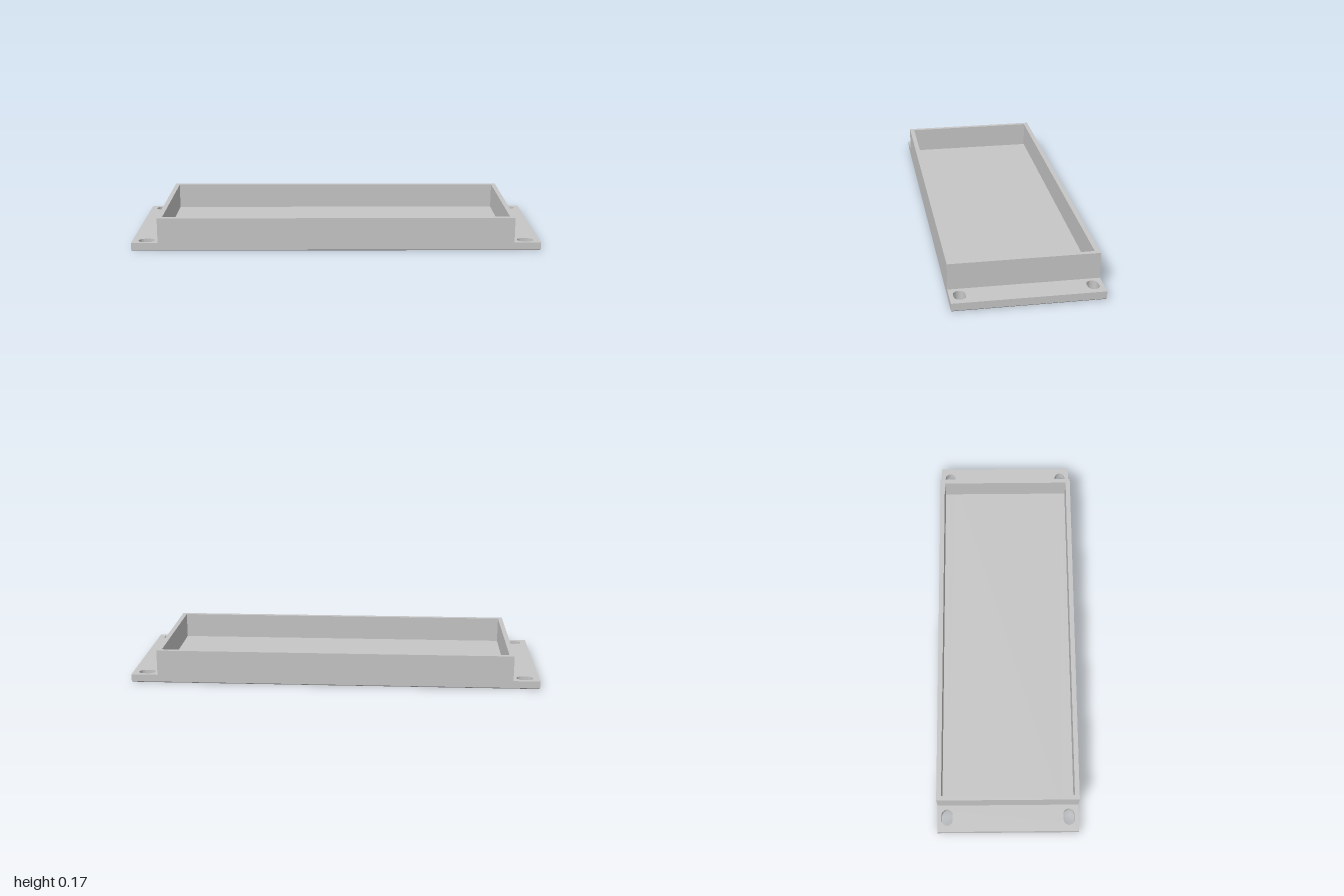
import * as THREE from 'three';
import { toCreasedNormals } from 'three/addons/utils/BufferGeometryUtils.js';

const HALF_X = 1, HALF_Z = 0.347;
const PLATE_TOP = 0.04, RIM_TOP = 0.165, CHAMFER = 0.005;

function rectangle(Type, hx, hz) {
  const r = new Type();
  r.moveTo(-hx, -hz);
  r.lineTo(hx, -hz);
  r.lineTo(hx, hz);
  r.lineTo(-hx, hz);
  r.closePath();
  return r;
}

// Rounded slot, long in x
function slot(x, z, halfLength, radius) {
  const p = new THREE.Path();
  const d = halfLength - radius;
  p.absarc(x + d, z, radius, -Math.PI / 2, Math.PI / 2, false);
  p.absarc(x - d, z, radius, Math.PI / 2, Math.PI * 1.5, false);
  p.closePath();
  return p;
}

// Extrude a plan outline upwards from y = 0
function extrudeUp(shape, height, steps = 1) {
  const g = new THREE.ExtrudeGeometry(shape, { depth: height, steps, bevelEnabled: false, curveSegments: 16 });
  g.rotateX(-Math.PI / 2);
  return g;
}

export function createModel() {
  const group = new THREE.Group();
  group.name = 'mountingTray';
  const grey = new THREE.MeshStandardMaterial({ color: 0xc6c6c6 });
  grey.name = 'lightGrey';

  // Base plate with a mounting slot in each corner
  const outline = rectangle(THREE.Shape, HALF_X, HALF_Z);
  for (const sx of [-1, 1]) {
    for (const sz of [-1, 1]) outline.holes.push(slot(sx * 0.93, sz * 0.3, 0.04, 0.027));
  }
  const plate = extrudeUp(outline, PLATE_TOP, 8);

  // Chamfer the lower outer edge by drawing its corners inwards
  const pos = plate.attributes.position;
  for (let i = 0; i < pos.count; i++) {
    if (pos.getY(i) > 1e-4 || Math.abs(pos.getX(i)) < HALF_X - 1e-4) continue;
    pos.setX(i, Math.sign(pos.getX(i)) * (HALF_X - CHAMFER));
    pos.setZ(i, Math.sign(pos.getZ(i)) * (HALF_Z - CHAMFER));
  }
  const basePlate = new THREE.Mesh(toCreasedNormals(plate, Math.PI / 6), grey);
  basePlate.name = 'basePlate';

  // Raised wall around the tray floor
  const wall = rectangle(THREE.Shape, 0.87, HALF_Z);
  wall.holes.push(rectangle(THREE.Path, 0.847, 0.324));
  const trayWall = new THREE.Mesh(extrudeUp(wall, RIM_TOP - PLATE_TOP), grey);
  trayWall.position.y = PLATE_TOP;
  trayWall.name = 'trayWall';

  group.add(basePlate, trayWall);
  return group;
}
